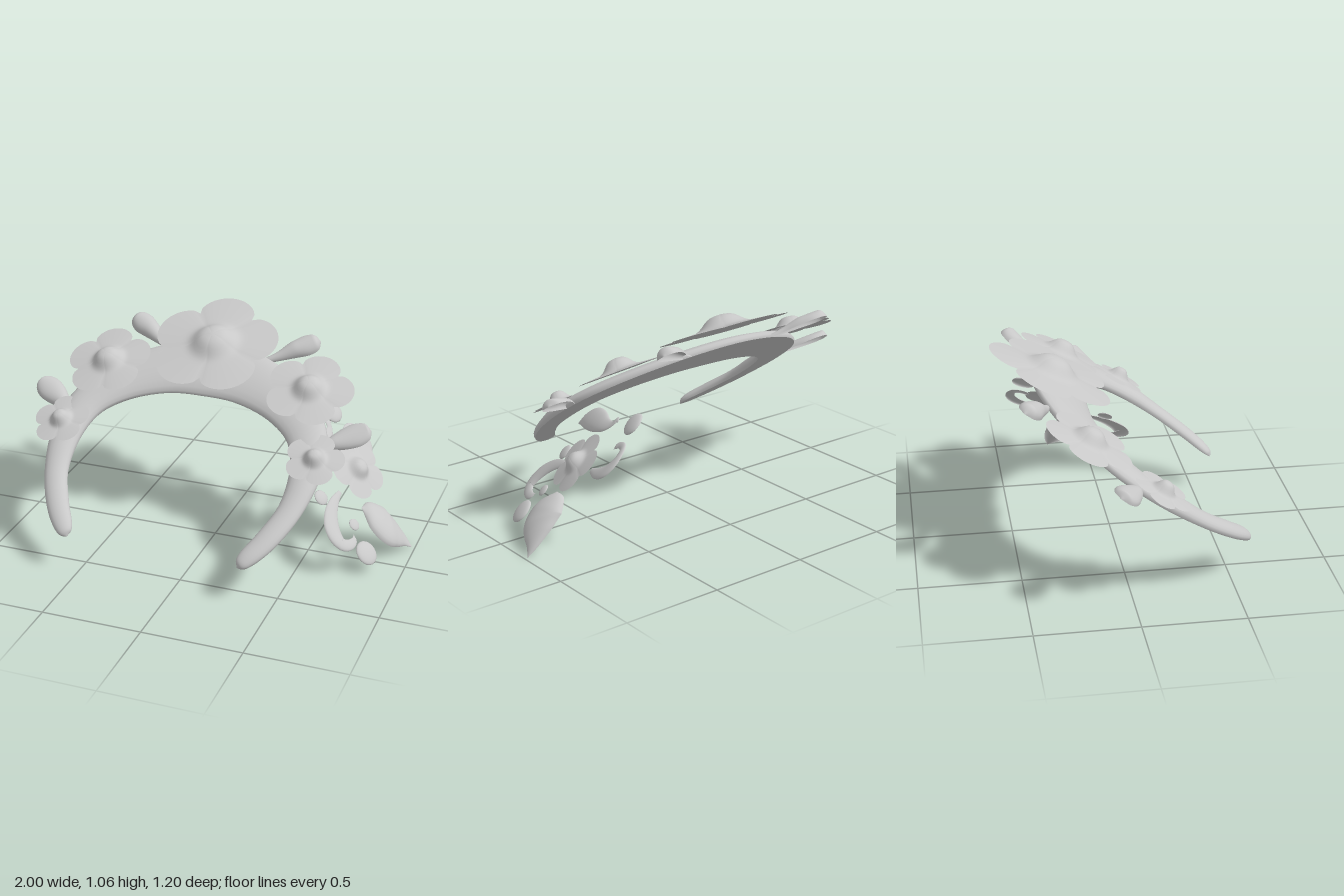
import * as THREE from 'three';
import { mergeVertices } from 'three/addons/utils/BufferGeometryUtils.js';

const grey = new THREE.MeshStandardMaterial({ color: 0xc8c8c8, side: THREE.DoubleSide });
grey.name = 'plain grey';

// Smooth sheet from a rule f(i 0..1, j 0..1) -> [x, y, z]
function grid(nu, nv, f) {
  const pos = [], idx = [];
  for (let i = 0; i <= nu; i++)
    for (let j = 0; j <= nv; j++) pos.push(...f(i / nu, j / nv));
  for (let i = 0; i < nu; i++)
    for (let j = 0; j < nv; j++) {
      const a = i * (nv + 1) + j, b = a + nv + 1;
      idx.push(a, a + 1, b, b, a + 1, b + 1);
    }
  let geo = new THREE.BufferGeometry();
  geo.setAttribute('position', new THREE.Float32BufferAttribute(pos, 3));
  geo.setIndex(idx);
  geo = mergeVertices(geo, 1e-5);
  geo.computeVertexNormals();
  return geo;
}

function mesh(name, geo) {
  const m = new THREE.Mesh(geo, grey);
  m.name = name;
  return m;
}

// Domed ribbon along points [x, y, halfWidth], rising in z up to maxRise;
// wrap rolls the long edges under
function ribbon(name, pts, riseRatio, maxRise, steps = 28, wrap = 0) {
  const curve = new THREE.CatmullRomCurve3(pts.map(p => new THREE.Vector3(...p)));
  return mesh(name, grid(steps, 12, (u, v) => {
    const p = curve.getPoint(u), t = curve.getTangent(u);
    const len = Math.hypot(t.x, t.y) || 1, w = Math.max(p.z, 0);
    const a = v * (Math.PI + 2 * wrap) - wrap, side = w * Math.cos(a);
    return [p.x + t.y / len * side, p.y - t.x / len * side,
      Math.min(w * riseRatio, maxRise) * (Math.sin(a) + Math.sin(wrap))];
  }));
}

// Shallow round dome facing +z
function dome(name, r, h) {
  const geo = new THREE.SphereGeometry(r, 20, 7, 0, Math.PI * 2, 0, Math.PI / 2);
  geo.rotateX(Math.PI / 2);
  geo.scale(1, 1, h / r);
  return mesh(name, geo);
}

// Five-petal flower facing +z with a swelling heart, one petal turned by phase from +y
function flower(name, R, phase, heart = 0.22) {
  return mesh(name, grid(80, 18, (u, v) => {
    const t = u * Math.PI * 2;
    const edge = R * (0.73 + 0.27 * Math.pow(Math.abs(Math.cos(2.5 * t)), 0.6));
    const r = edge * v, a = t + Math.PI / 2 + phase;
    const swell = heart * Math.exp(-Math.pow(r / (0.31 * R), 4)) + 0.07 * (1 - v);
    return [r * Math.cos(a), r * Math.sin(a), R * swell];
  }));
}

export function createModel() {
  const root = new THREE.Group();
  root.name = 'floralHeadband';

  // Tilted plane that carries the band: x across, y along the slope, z outward
  const crown = new THREE.Group();
  crown.name = 'crown';
  crown.position.set(-0.115, 0.6, 0);
  crown.rotation.x = -55 * Math.PI / 180;
  root.add(crown);

  // Crescent band with a flat back, thick at the top and thin at the tips
  const half = [
    [0.44, -0.725, 0], [0.452, -0.71, 0.03], [0.475, -0.675, 0.046], [0.54, -0.57, 0.057],
    [0.615, -0.38, 0.062], [0.632, -0.14, 0.085], [0.578, 0.038, 0.103],
    [0.435, 0.185, 0.125], [0.22, 0.292, 0.15],
  ];
  const mirrored = half.map(([x, y, w]) => [-x, y, w]).reverse();
  const arc = [...half, [0, 0.327, 0.167], ...mirrored];
  const wrap = 0.35;
  crown.add(ribbon('band', arc, 0.6, 0.044, 96, wrap));
  crown.add(ribbon('bandBack', arc.map(([x, y, w]) => [x, y, w * Math.cos(wrap)]), 0, 0, 96));

  // Flowers on the band
  const addFlower = (f, x, y, z, tilt, turn) => {
    f.position.set(x, y, z);
    f.rotation.set(tilt * Math.PI / 180, turn, 0);
    crown.add(f);
  };
  addFlower(flower('centreFlower', 0.328, 0, 0.16), 0, 0.427, 0.093, -10, 0);
  for (const [s, side] of [[1, 'left'], [-1, 'right']]) {
    addFlower(flower(side + 'MiddleFlower', 0.225, s * -0.16),
      s * 0.54, 0.265, 0.052, -8, s * 0.08);
    addFlower(flower(side + 'SmallFlower', 0.148, s * -0.12, 0.3),
      s * 0.67, -0.12, 0.058, -5, s * 0.08);
    // Plump teardrop buds behind the flowers
    const upper = [[0.24, 0.415, 0.012], [0.32, 0.46, 0.027], [0.39, 0.51, 0.048],
      [0.45, 0.548, 0.058], [0.49, 0.573, 0.043], [0.51, 0.585, 0]];
    const lower = [[0.66, -0.025, 0.014], [0.71, 0.003, 0.035], [0.78, 0.05, 0.06],
      [0.83, 0.082, 0.064], [0.87, 0.107, 0.045], [0.887, 0.118, 0]];
    for (const [name, pts, rise] of [['UpperBud', upper, 0.046], ['LowerBud', lower, 0.037]])
      crown.add(ribbon(side + name, pts.map(([x, y, w]) => [s * x, y, w]), 0.95, rise));
  }

  // Slanted sheets for the side spray: coordinates are (-z, y), x follows the slope
  const spray = new THREE.Group();
  spray.name = 'sideSpray';
  root.add(spray);
  const slope = (x0, k = 0.4) => new THREE.Matrix4().makeBasis(
    new THREE.Vector3(k, 0, -1), new THREE.Vector3(-1, 1, 0),
    new THREE.Vector3(1, 1, k).normalize()).setPosition(x0, 0, 0);
  const facing = new THREE.Vector3(1, 1, 0.4);
  const place = (obj, s, y, x0) => {
    obj.position.set(s, y, 0).applyMatrix4(slope(x0));
    obj.lookAt(obj.position.clone().add(facing));
    spray.add(obj);
  };

  place(flower('sprayFlower', 0.163, 0.1), 0.193, 0.4, 1.01);
  for (const [s, y, r] of [[-0.085, 0.09, 0.063], [-0.02, 0.2, 0.031],
    [-0.065, 0.343, 0.04], [0.38, 0.602, 0.06]])
    place(dome('roundBud', r, r * 0.3), s, y, 0.945);

  // Leaves and curling tendrils: name, slope, rise, points
  const sheets = [
    ['largeLeaf', slope(0.965, 0.1), 0.045, [[0.1, 0.235, 0], [0.115, 0.2, 0.075],
      [0.135, 0.14, 0.105], [0.165, 0.09, 0.08], [0.19, 0.045, 0.04], [0.207, 0, 0]]],
    ['upperLeaf', slope(0.99), 0.02, [[-0.075, 0.47, 0], [-0.03, 0.5, 0.028],
      [0.04, 0.525, 0.044], [0.13, 0.54, 0.04], [0.2, 0.55, 0.025], [0.25, 0.57, 0.012],
      [0.27, 0.592, 0.012], [0.29, 0.59, 0]]],
    ['lowerTendril', slope(0.95), 0.02, [[0.05, 0.33, 0.008], [-0.02, 0.31, 0.018],
      [-0.1, 0.27, 0.028], [-0.16, 0.215, 0.036], [-0.175, 0.172, 0.036],
      [-0.135, 0.15, 0.022], [-0.09, 0.155, 0.011], [-0.07, 0.172, 0]]],
    ['upperTendril', slope(0.935), 0.015, [[0.28, 0.382, 0.01], [0.34, 0.392, 0.02],
      [0.41, 0.425, 0.026], [0.44, 0.475, 0.024], [0.425, 0.515, 0.017],
      [0.385, 0.518, 0.013], [0.355, 0.503, 0.011], [0.35, 0.488, 0]]],
  ];
  for (const [name, matrix, rise, pts] of sheets) {
    const sheet = ribbon(name, pts, 0.45, rise, 36);
    sheet.geometry.applyMatrix4(matrix);
    sheet.geometry.computeVertexNormals();
    spray.add(sheet);
  }

  return root;
}
